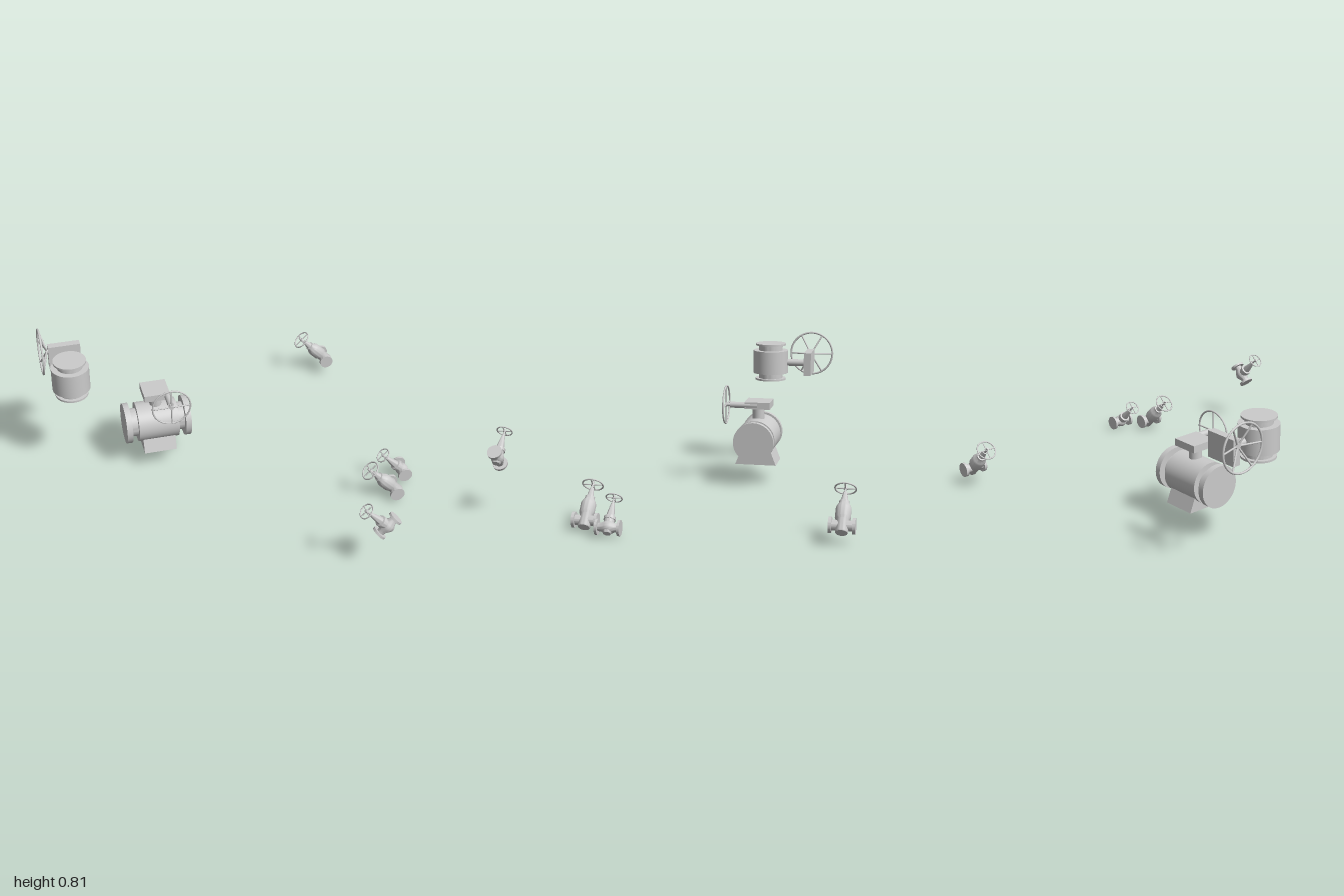
import * as THREE from 'three';
import { toCreasedNormals } from 'three/addons/utils/BufferGeometryUtils.js';

const grey = new THREE.MeshStandardMaterial({ color: 0xcccccc });

function add(parent, name, geometry, x = 0, y = 0, z = 0) {
  const mesh = new THREE.Mesh(geometry, grey);
  mesh.name = name;
  mesh.position.set(x, y, z);
  parent.add(mesh);
  return mesh;
}

// Turned part around y; profile is [radius, height] from bottom to top
function turned(profile, segments = 40) {
  const points = profile.map(([r, y]) => new THREE.Vector2(r, y));
  return toCreasedNormals(new THREE.LatheGeometry(points, segments), 0.6);
}

// Straight round bar between two points, optionally tapered
function bar(parent, name, a, b, r0, r1 = r0, sides = 16) {
  const from = new THREE.Vector3(...a), to = new THREE.Vector3(...b);
  const dir = to.clone().sub(from);
  const mesh = add(parent, name, new THREE.CylinderGeometry(r1, r0, dir.length(), sides));
  mesh.position.copy(from).add(to).multiplyScalar(0.5);
  mesh.quaternion.setFromUnitVectors(new THREE.Vector3(0, 1, 0), dir.normalize());
}

// Handwheel facing +y with its rim at the origin; dish is how far the hub sits below
function handwheel(radius, spokes, tube, dish = 0) {
  const wheel = new THREE.Group();
  wheel.name = 'handwheel';
  add(wheel, 'rim', new THREE.TorusGeometry(radius - tube, tube, 10, 48)).rotation.x = Math.PI / 2;
  add(wheel, 'hub', new THREE.CylinderGeometry(tube * 2.4, tube * 2.4, tube * 3, 20), 0, -dish, 0);
  for (let i = 0; i < spokes; i++) {
    const a = (i / spokes) * Math.PI * 2;
    const r = radius - tube;
    bar(wheel, 'spoke', [0, -dish, 0], [Math.cos(a) * r, 0, Math.sin(a) * r], tube * 0.85, tube * 0.85, 8);
  }
  return wheel;
}

// Large horizontal valve on a foot, with gearbox and flat handwheel
function footedValve() {
  const valve = new THREE.Group();
  valve.name = 'footedValve';
  add(valve, 'body', turned([
    [0, -0.19], [0.118, -0.19], [0.118, -0.157], [0.082, -0.157], [0.082, -0.118], [0.115, -0.118],
    [0.115, 0.118], [0.082, 0.118], [0.082, 0.157], [0.118, 0.157], [0.118, 0.19], [0, 0.19],
  ], 56)).rotation.z = Math.PI / 2;
  const foot = new THREE.Shape([[-0.12, -0.15], [0.12, -0.15], [0.085, -0.06], [-0.085, -0.06]]
    .map(([x, y]) => new THREE.Vector2(x, y)));
  add(valve, 'foot', new THREE.ExtrudeGeometry(foot, { depth: 0.19, bevelEnabled: false }), -0.095).rotation.y = Math.PI / 2;
  bar(valve, 'stemHousing', [0, 0.1, 0], [0, 0.18, 0], 0.035, 0.035, 32);
  add(valve, 'gearbox', new THREE.BoxGeometry(0.15, 0.04, 0.15), 0, 0.197, -0.003);
  bar(valve, 'shaftHousing', [0.06, 0.197, -0.003], [0.06, 0.197, 0.157], 0.018);
  bar(valve, 'shaft', [0.06, 0.197, 0.157], [0.06, 0.197, 0.183], 0.009);
  const wheel = handwheel(0.115, 4, 0.005);
  wheel.position.set(0.06, 0.197, 0.181);
  wheel.rotation.x = Math.PI / 2;
  valve.add(wheel);
  return valve;
}

// Large upright valve with side gearbox and dished handwheel
function uprightValve() {
  const valve = new THREE.Group();
  valve.name = 'uprightValve';
  add(valve, 'body', turned([
    [0, -0.113], [0.093, -0.113], [0.093, -0.102], [0.073, -0.102], [0.073, -0.07], [0.107, -0.07],
    [0.107, 0.07], [0.073, 0.07], [0.073, 0.102], [0.093, 0.102], [0.093, 0.113], [0, 0.113],
  ], 56));
  bar(valve, 'stemHousing', [0, -0.004, -0.08], [0, -0.004, -0.225], 0.021, 0.021, 28);
  add(valve, 'gearbox', new THREE.BoxGeometry(0.185, 0.14, 0.043), 0, 0, -0.238);
  bar(valve, 'shaft', [-0.08, 0.038, -0.238], [-0.105, 0.038, -0.238], 0.011);
  const wheel = handwheel(0.135, 6, 0.006, 0.037);
  wheel.position.set(-0.134, 0.038, -0.238);
  wheel.rotation.set(0, Math.PI / 2, Math.PI / 2, 'ZYX');
  valve.add(wheel);
  return valve;
}

// Small globe valve: flow along x, stem along y
function globeValve() {
  const valve = new THREE.Group();
  valve.name = 'globeValve';
  add(valve, 'flowBody', turned([
    [0, -0.065], [0.041, -0.065], [0.041, -0.052], [0.021, -0.052], [0.023, -0.035], [0.033, -0.016], [0.036, 0],
    [0.033, 0.016], [0.023, 0.035], [0.021, 0.052], [0.041, 0.052], [0.041, 0.065], [0, 0.065],
  ])).rotation.z = Math.PI / 2;
  add(valve, 'bonnet', turned([
    [0, -0.038], [0.02, -0.036], [0.027, -0.022], [0.027, 0.042], [0.031, 0.042], [0.031, 0.06],
    [0.022, 0.063], [0.019, 0.085], [0.009, 0.142], [0, 0.142],
  ], 32));
  bar(valve, 'stem', [0, 0.14, 0], [0, 0.185, 0], 0.005);
  const wheel = handwheel(0.045, 4, 0.0035);
  wheel.position.y = 0.174;
  valve.add(wheel);
  return valve;
}

// Small gate valve: flow along x, tall body along y
function gateValve() {
  const valve = new THREE.Group();
  valve.name = 'gateValve';
  add(valve, 'flowBody', turned([
    [0, -0.068], [0.041, -0.068], [0.041, -0.052], [0.027, -0.052],
    [0.027, 0.052], [0.041, 0.052], [0.041, 0.068], [0, 0.068],
  ])).rotation.z = Math.PI / 2;
  add(valve, 'body', turned([
    [0, -0.042], [0.03, -0.042], [0.033, -0.036], [0.033, 0.03], [0.04, 0.042], [0.04, 0.095],
    [0.036, 0.108], [0.026, 0.125], [0.026, 0.138], [0.019, 0.14], [0.011, 0.19], [0, 0.19],
  ], 36));
  bar(valve, 'stem', [0, 0.185, 0], [0, 0.235, 0], 0.006);
  const wheel = handwheel(0.058, 4, 0.004);
  wheel.position.y = 0.214;
  valve.add(wheel);
  return valve;
}

export function createModel() {
  const model = new THREE.Group();
  model.name = 'valves';
  const place = (valve, x, y, z) => {
    valve.position.set(x, y, z);
    model.add(valve);
    return valve;
  };
  place(footedValve(), -0.382, 0.27, -0.313);
  place(uprightValve(), -0.857, 0.648, -0.312);

  // Small valves lean 45 degrees; most are turned so the flow runs along z
  const lean = (valve, turn) => valve.rotation.set(0, turn, Math.PI / 4, 'ZYX');
  lean(place(globeValve(), 0.594, 0.3, 0.953), 0);
  lean(place(globeValve(), 0.956, 0.056, 0.238), Math.PI / 2);
  lean(place(gateValve(), 0.853, 0.057, 0.388), Math.PI / 2);
  lean(place(gateValve(), 0.846, 0.104, -0.932), Math.PI / 2);
  return model;
}
